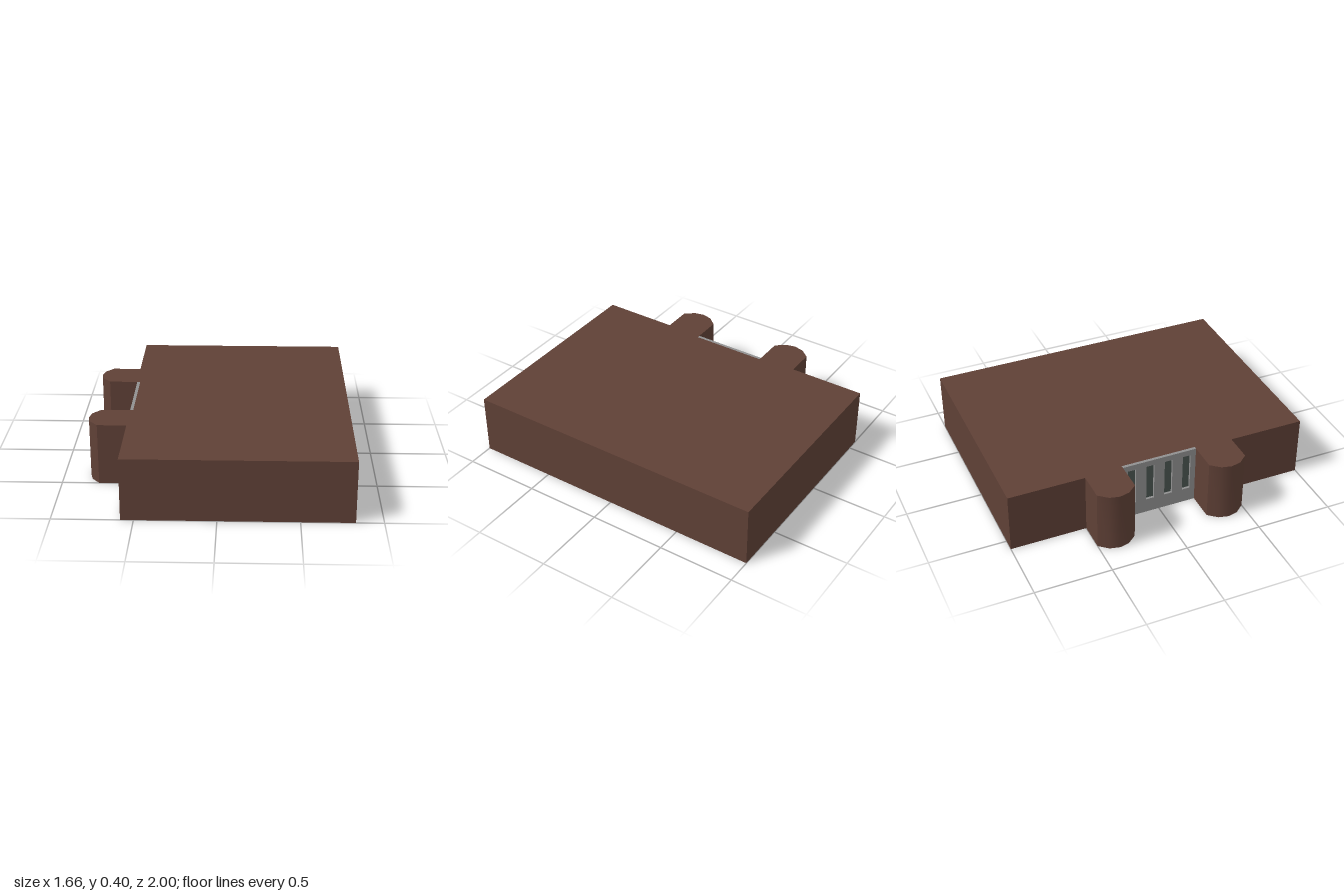
import * as THREE from 'three';
import { toCreasedNormals } from 'three/addons/utils/BufferGeometryUtils.js';

const HEIGHT = 0.4, FACE = -0.58, BACK = 0.83, RECESS = 0.02;

const brown = new THREE.MeshStandardMaterial({ color: 0x5f4036 });
const grey = new THREE.MeshStandardMaterial({ color: 0x909090 });
const dark = new THREE.MeshStandardMaterial({ color: 0x4a5550 });

const outline = (points) => new THREE.Shape(points.map(([x, y]) => new THREE.Vector2(x, y)));

// Raise a plan outline (x, -z) from the ground to the full height
function slab(points) {
  const geometry = new THREE.ExtrudeGeometry(outline(points), { depth: HEIGHT, bevelEnabled: false });
  geometry.rotateX(-Math.PI / 2);
  return toCreasedNormals(geometry, 0.7);
}

function addMesh(parent, name, geometry, material) {
  const mesh = new THREE.Mesh(geometry, material);
  mesh.name = name;
  parent.add(mesh);
  return mesh;
}

export function createModel() {
  const model = new THREE.Group();
  model.name = 'connectorBlock';

  // Main block with a shallow notch that receives the contact panel
  addMesh(model, 'body', slab([
    [FACE, -1], [BACK, -1], [BACK, 1], [FACE, 1],
    [FACE, 0.25], [FACE + RECESS, 0.25], [FACE + RECESS, -0.25], [FACE, -0.25],
  ]), brown);

  // Two round-nosed prongs
  const prong = slab([
    [FACE, -0.125], [FACE, 0.125], [-0.765, 0.125], [-0.815, 0.065],
    [-0.83, 0], [-0.815, -0.065], [-0.765, -0.125],
  ]);
  for (const side of [-1, 1]) {
    addMesh(model, side > 0 ? 'frontProng' : 'backProng', prong, brown).position.z = side * 0.375;
  }

  // Grey panel between the prongs, pierced by four upright slots
  const panel = outline([[-0.25, 0], [0.25, 0], [0.25, HEIGHT], [-0.25, HEIGHT]]);
  const slots = [-0.1875, -0.0625, 0.0625, 0.1875];
  const w = 0.027, low = 0.1, high = 0.36;
  for (const z of slots) {
    panel.holes.push(outline([[z - w, low], [z - w, high], [z + w, high], [z + w, low]]));
  }
  const panelGeometry = new THREE.ExtrudeGeometry(panel, { depth: RECESS, bevelEnabled: false });
  panelGeometry.rotateY(-Math.PI / 2);
  addMesh(model, 'contactPanel', panelGeometry, grey).position.x = FACE + RECESS;

  // Dark floor of each slot
  const floor = new THREE.BoxGeometry(0.004, high - low, 2 * w);
  for (const z of slots) {
    addMesh(model, 'slotFloor', floor, dark).position.set(FACE + RECESS - 0.002, (low + high) / 2, z);
  }

  return model;
}
